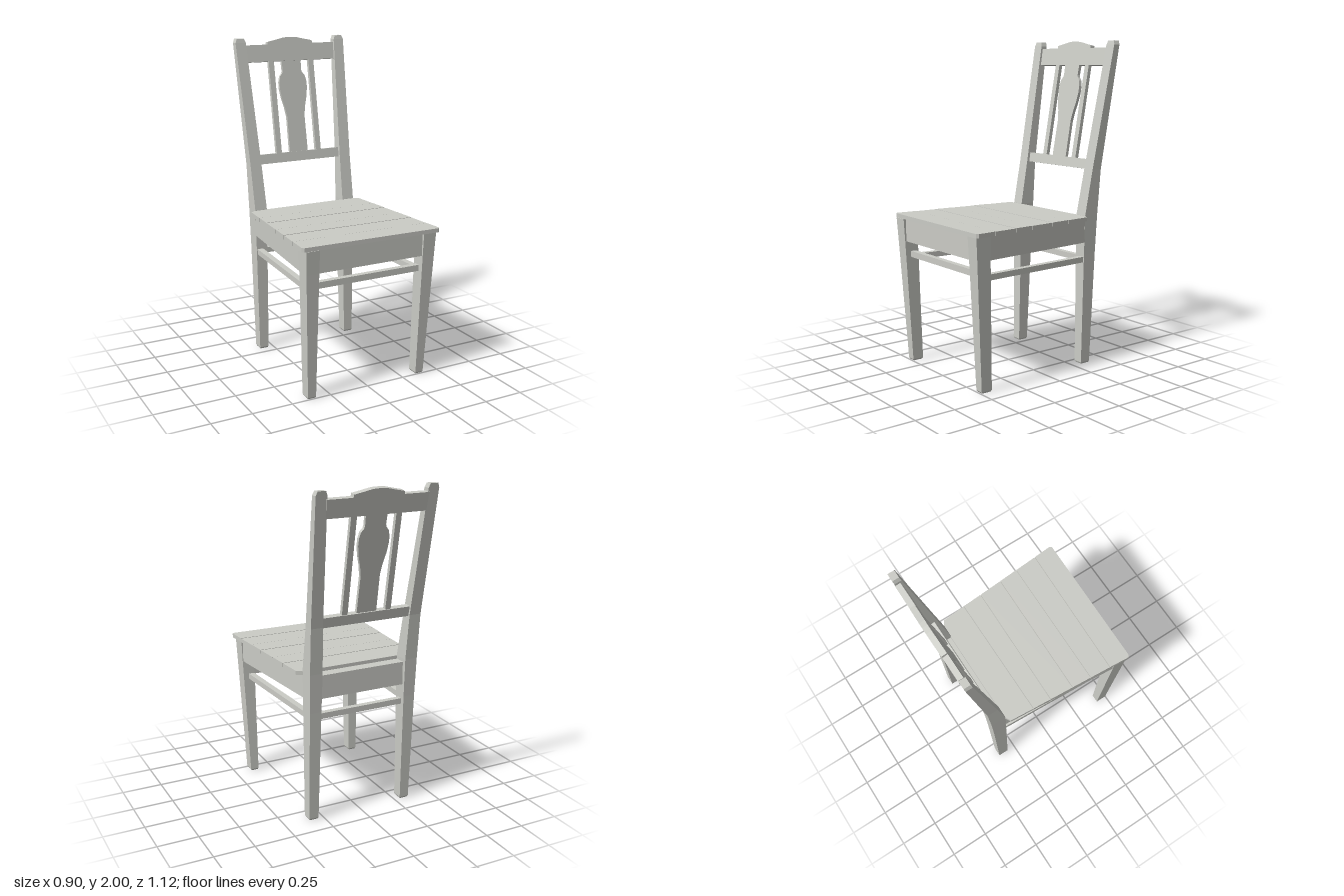
import * as THREE from 'three';

const paint = new THREE.MeshStandardMaterial({ color: 0xcbccc6 });
paint.name = 'greyPaint';
const wood = new THREE.MeshStandardMaterial({ color: 0x7a5a3c });
wood.name = 'bareWood';

// Flat-faced solid through stacked rings, each counter-clockwise seen from the last ring's end.
// bare lists the unpainted sides by index; -1 is the first cap.
function loft(name, rings, { bare = [], mirror = false } = {}) {
  const painted = [], unpainted = [], n = rings[0].length;
  const tri = (list, a, b, c) => {
    for (const p of mirror ? [a, c, b] : [a, b, c]) list.push(mirror ? -p[0] : p[0], p[1], p[2]);
  };
  for (let r = 0; r + 1 < rings.length; r++) {
    for (let i = 0; i < n; i++) {
      const j = (i + 1) % n, list = bare.includes(i) ? unpainted : painted;
      tri(list, rings[r][i], rings[r][j], rings[r + 1][j]);
      tri(list, rings[r][i], rings[r + 1][j], rings[r + 1][i]);
    }
  }
  const first = rings[0], last = rings[rings.length - 1];
  for (let i = 1; i + 1 < n; i++) {
    tri(bare.includes(-1) ? unpainted : painted, first[0], first[i + 1], first[i]);
    tri(painted, last[0], last[i], last[i + 1]);
  }
  const g = new THREE.BufferGeometry();
  g.setAttribute('position', new THREE.Float32BufferAttribute([...painted, ...unpainted], 3));
  g.addGroup(0, painted.length / 3, 0);
  if (unpainted.length) g.addGroup(painted.length / 3, unpainted.length / 3, 1);
  g.computeVertexNormals();
  const mesh = new THREE.Mesh(g, [paint, wood]);
  mesh.name = name;
  return mesh;
}

// Rectangular ring at height y
const rect = (y, x0, x1, z0, z1) => [[x0, y, z1], [x1, y, z1], [x1, y, z0], [x0, y, z0]];
// Upright slab with the given plan outline
const slab = (name, plan, y0, y1, opts) =>
  loft(name, [y0, y1].map(y => plan.map(([x, z]) => [x, y, z])), opts);

function box(name, x0, x1, y0, y1, z0, z1, mat = paint) {
  const m = new THREE.Mesh(new THREE.BoxGeometry(x1 - x0, y1 - y0, z1 - z0), mat);
  m.position.set((x0 + x1) / 2, (y0 + y1) / 2, (z0 + z1) / 2);
  m.name = name;
  return m;
}

function board(name, outline, depth) {
  const shape = new THREE.Shape(outline.map(p => new THREE.Vector2(...p)));
  const g = new THREE.ExtrudeGeometry(shape, { depth, bevelEnabled: false });
  g.translate(0, 0, -depth / 2);
  const m = new THREE.Mesh(g, paint);
  m.name = name;
  return m;
}

export function createModel() {
  const chair = new THREE.Group();
  chair.name = 'chair';

  for (const mirror of [false, true]) {
    const side = mirror ? 'right' : 'left';
    // Tapered front leg
    chair.add(loft(side + 'FrontLeg', [
      rect(0, 0.35, 0.393, 0.43, 0.49),
      rect(0.01, 0.345, 0.398, 0.425, 0.496),
      rect(0.775, 0.345, 0.425, 0.45, 0.541),
      rect(0.915, 0.345, 0.43, 0.45, 0.55),
    ], { bare: [-1], mirror }));
    // Back leg running up into the leaning post
    chair.add(loft(side + 'BackLeg', [
      rect(0, 0.29, 0.34, -0.368, -0.31),
      rect(0.01, 0.285, 0.345, -0.373, -0.305),
      rect(0.7, 0.277, 0.352, -0.402, -0.313),
      rect(0.94, 0.275, 0.355, -0.415, -0.316),
      rect(1.22, 0.283, 0.358, -0.437, -0.369),
      rect(1.975, 0.312, 0.381, -0.554, -0.511),
      rect(2, 0.322, 0.371, -0.558, -0.517),
    ], { bare: [-1], mirror }));
    // Side apron, bare on the inside
    chair.add(slab(side + 'Apron',
      [[0.422, 0.46], [0.352, -0.33], [0.322, -0.33], [0.392, 0.46]], 0.775, 0.915, { bare: [2], mirror }));
    // Side stretcher
    chair.add(slab(side + 'Stretcher',
      [[0.386, 0.45], [0.345, -0.33], [0.307, -0.33], [0.35, 0.45]], 0.65, 0.685, { mirror }));
  }

  // Front and back aprons with bare inner faces
  chair.add(box('frontApron', -0.35, 0.35, 0.775, 0.915, 0.505, 0.533));
  chair.add(box('frontApronInside', -0.345, 0.345, 0.776, 0.914, 0.5, 0.505, wood));
  chair.add(box('backApron', -0.28, 0.28, 0.775, 0.915, -0.387, -0.355));
  chair.add(box('backApronInside', -0.276, 0.276, 0.776, 0.914, -0.355, -0.35, wood));
  chair.add(box('seatBackFiller', -0.278, 0.278, 0.9, 0.918, -0.387, -0.318));

  // Front and back stretchers
  chair.add(box('frontStretcher', -0.35, 0.35, 0.672, 0.71, 0.465, 0.5));
  chair.add(box('backStretcher', -0.285, 0.285, 0.645, 0.68, -0.375, -0.34));

  // Seat planks, with slightly skewed joints given as z at the right and left ends
  const joints = [[-0.32, -0.32], [-0.143, -0.142], [-0.022, -0.01], [0.133, 0.147],
    [0.263, 0.275], [0.401, 0.426], [0.545, 0.56]];
  const halfWidth = z => 0.412 + 0.07 * z;
  for (let i = 0; i < 6; i++) {
    const gap = 0.002, last = i === 5;
    const [br, bl] = joints[i].map(z => z + (i ? gap : 0));
    const [fr, fl] = joints[i + 1].map(z => z - (last ? 0 : gap));
    const front = last
      ? [[-halfWidth(fr), fr - 0.012], [-halfWidth(fr) + 0.012, fr], [halfWidth(fl) - 0.012, fl], [halfWidth(fl), fl - 0.012]]
      : [[-halfWidth(fr), fr], [halfWidth(fl), fl]];
    const back = i
      ? [[halfWidth(bl), bl], [-halfWidth(br), br]]
      : [[0.39, -0.298], [0.352, -0.32], [-0.352, -0.32], [-0.39, -0.298]];
    chair.add(slab('seatPlank' + (i + 1), [...front, ...back], 0.915, 0.939 + (i % 2) * 0.001));
  }
  // Bare underside of the seat
  chair.add(slab('seatUnderside',
    [[-0.392, 0.503], [0.392, 0.503], [0.325, -0.353], [-0.325, -0.353]], 0.909, 0.9145,
    { bare: [-1, 0, 1, 2, 3] }));

  // Leaning back panel, drawn at true heights and tilted about the lower rail
  const pivot = 1.245, slope = 0.18;
  const panel = new THREE.Group();
  panel.name = 'backPanel';
  panel.position.set(0, pivot, -0.41);
  panel.rotation.x = -Math.atan(slope);
  const Y = y => (y - pivot) * Math.hypot(1, slope);
  const mirrored = half => [...half, ...half.map(([x, y]) => [-x, y]).reverse()].map(([x, y]) => [x, Y(y)]);

  panel.add(board('lowerRail', mirrored([[0.288, 1.215], [0.29, 1.275]]), 0.036));
  panel.add(board('crestRail', mirrored([[0.312, 1.85], [0.318, 1.955], [0.158, 1.955], [0.156, 1.972],
    [0.1, 1.983], [0.05, 1.994], [0.02, 1.997]]), 0.034));
  panel.add(board('splat', mirrored([[0.064, 1.27], [0.062, 1.5], [0.072, 1.56], [0.088, 1.62], [0.097, 1.68],
    [0.096, 1.72], [0.087, 1.755], [0.07, 1.775], [0.066, 1.79], [0.068, 1.86]]), 0.02));
  for (const s of [-1, 1]) {
    panel.add(box(s < 0 ? 'rightSlat' : 'leftSlat', s * 0.141 - 0.018, s * 0.141 + 0.018, Y(1.27), Y(1.86), -0.012, 0.012));
  }
  chair.add(panel);
  return chair;
}
